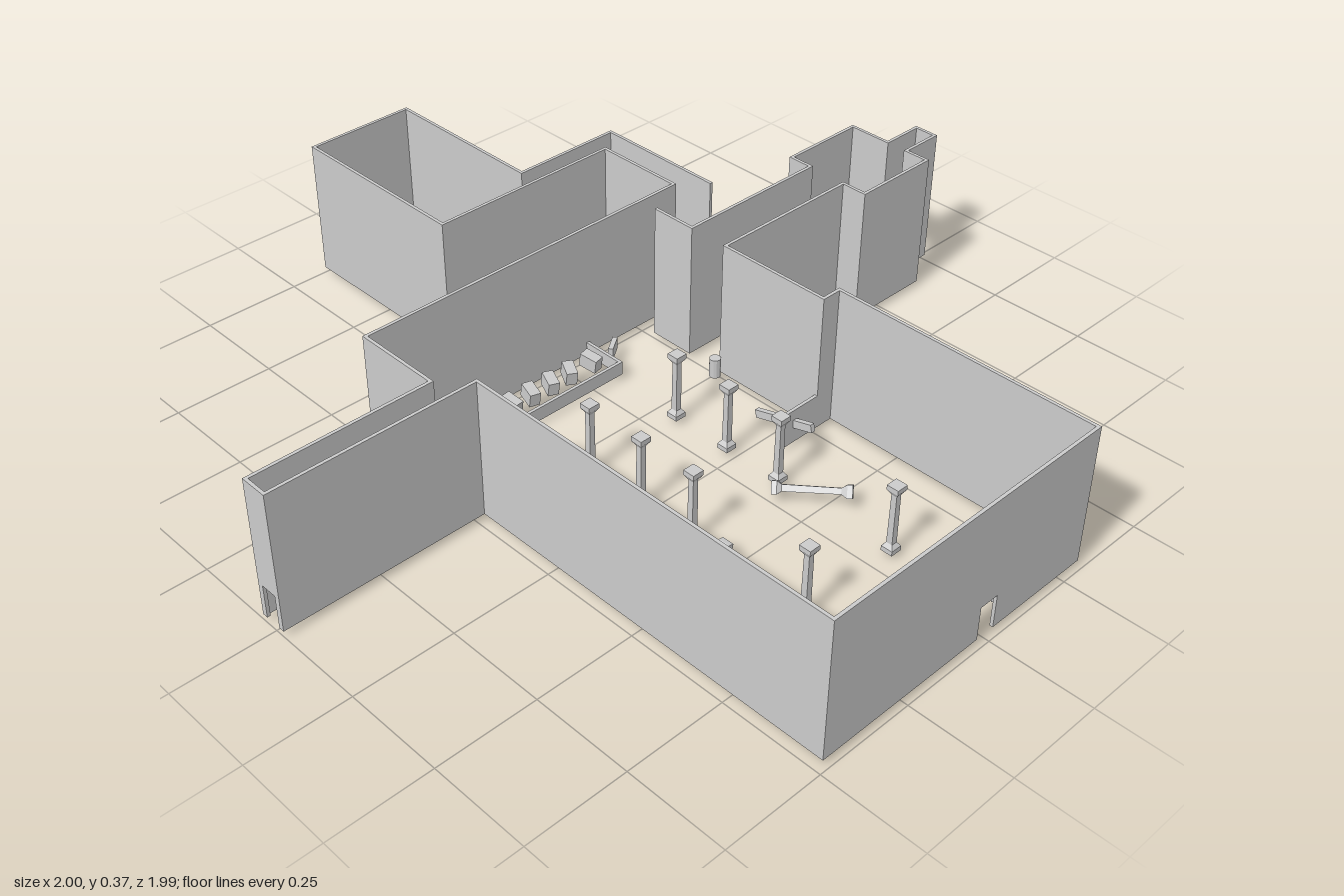
import * as THREE from 'three';

const FLOOR = 0.015, TOP = 0.365, THICK = 0.008, DOOR_TOP = 0.1;

export function createModel() {
  const root = new THREE.Group();
  root.name = 'roomComplex';
  const mat = new THREE.MeshStandardMaterial({ color: 0xcccccc, flatShading: true });

  const group = (name) => {
    const g = new THREE.Group();
    g.name = name;
    root.add(g);
    return g;
  };
  // box from its centre (x, z), base height y, size and turn about y
  const box = (parent, name, x, y, z, w, h, d, turn = 0) => {
    const m = new THREE.Mesh(new THREE.BoxGeometry(w, h, d), mat);
    m.name = name;
    m.position.set(x, y + h / 2, z);
    m.rotation.y = turn;
    parent.add(m);
    return m;
  };
  // straight wall between two plan points
  const wall = (parent, name, [x0, z0], [x1, z1], y0 = FLOOR, y1 = TOP) => {
    const len = Math.hypot(x1 - x0, z1 - z0);
    return box(parent, name, (x0 + x1) / 2, y0, (z0 + z1) / 2,
      len + THICK, y1 - y0, THICK, -Math.atan2(z1 - z0, x1 - x0));
  };
  const wallPath = (parent, name, points, y0, y1) => {
    for (let i = 1; i < points.length; i++) wall(parent, name, points[i - 1], points[i], y0, y1);
  };
  // wall with a doorway between fractions a and b of its length
  const doorWall = (parent, p, q, a, b) => {
    const at = (t) => [p[0] + (q[0] - p[0]) * t, p[1] + (q[1] - p[1]) * t];
    wall(parent, 'doorSide', p, at(a));
    wall(parent, 'doorSide', at(b), q);
    wall(parent, 'doorLintel', at(a), at(b), DOOR_TOP);
  };
  const barrel = (parent, x, z, h = 0.05, r = 0.014) => {
    const m = new THREE.Mesh(new THREE.CylinderGeometry(r, r, h, 12), mat);
    m.name = 'barrel';
    m.position.set(x, FLOOR + h / 2, z);
    parent.add(m);
  };

  // full height walls
  const walls = group('outerWalls');
  const A = [-0.147, -0.996], B = [0.138, -0.996];
  const C = [-0.478, 0.985], D = [0.306, 0.985];
  const E = [0.995, 0.018], F = [0.995, -0.04];
  const G = [-0.996, -0.04], H = [-0.996, 0.022];
  wallPath(walls, 'hallRightWall', [D, [0.306, 0.31], [0.255, 0.31], [0.255, 0.015], [0.656, 0.015],
    [0.656, 0.082], [0.885, 0.082], [0.885, 0.018], E]);
  wallPath(walls, 'storeBackWall', [F, [0.885, -0.04], [0.885, -0.153], [0.66, -0.153], [0.66, -0.092],
    [0.255, -0.092], [0.255, -0.205]]);
  wallPath(walls, 'backRoomRightWall', [[0.43, -0.205], [0.43, -0.55], [0.138, -0.55], B]);
  wallPath(walls, 'backRoomLeftWall', [A, [-0.147, -0.498], [0.363, -0.498], [0.363, -0.26],
    [-0.547, -0.26], [-0.547, -0.04], G]);
  wallPath(walls, 'hallLeftWall', [H, [-0.478, 0.022], C]);
  doorWall(walls, C, D, 0.57, 0.645);
  doorWall(walls, A, B, 0.4, 0.62);
  doorWall(walls, E, F, 0.08, 0.9);
  doorWall(walls, H, G, 0.1, 0.9);

  // low partitions
  const low = group('lowPartitions');
  const P = 0.105;
  wallPath(low, 'boothPartition', [[-0.355, 0.98], [-0.355, 0.7], [-0.41, 0.7], [-0.41, 0.93], [-0.355, 0.93]], FLOOR, P);
  wall(low, 'boothReturn', [-0.478, 0.7], [-0.43, 0.7], FLOOR, P);
  wall(low, 'hallStub', [-0.478, 0.08], [-0.425, 0.08], FLOOR, P);
  wall(low, 'hallPartition', [0.14, 0.31], [0.32, 0.31], FLOOR, P);
  wall(low, 'backRoomStub', [0.08, -0.635], [0.138, -0.635], FLOOR, P);
  wallPath(low, 'backRoomPartition', [[-0.147, -0.775], [-0.09, -0.775], [-0.09, -0.83], [-0.035, -0.83]], FLOOR, P);

  // pillars: lathe turned to a square section, with flared base and cap
  const profile = [[0, 0], [0.021, 0], [0.021, 0.012], [0.011, 0.022], [0.010, 0.15], [0.021, 0.163], [0.021, 0.175], [0, 0.175]]
    .map(([x, y]) => new THREE.Vector2(x, y));
  const pillarGeo = new THREE.LatheGeometry(profile, 4, Math.PI / 4);
  const pillar = (name, x, y, z) => {
    const m = new THREE.Mesh(pillarGeo, mat);
    m.name = name;
    m.position.set(x, y, z);
    root.add(m);
    return m;
  };
  for (const x of [-0.21, 0.055])
    for (const z of [0.065, 0.225, 0.38, 0.7]) pillar('pillar', x, FLOOR, z);
  // fallen pillars
  const dirTo = (m, dx, dy, dz) => m.quaternion.setFromUnitVectors(
    new THREE.Vector3(0, 1, 0), new THREE.Vector3(dx, dy, dz).normalize());
  dirTo(pillar('fallenPillar', 0.008, 0.035, 0.405), 0.095, 0.01, 0.128);
  dirTo(pillar('fallenPillar', -0.37, 0.06, 0.47), 0.155, -0.025, 0);

  // raised hollow platform by the left wall
  const stage = group('platform');
  box(stage, 'platformTop', -0.418, 0.103, 0.44, 0.12, 0.012, 0.15);
  wall(stage, 'platformSide', [-0.478, 0.369], [-0.362, 0.369], FLOOR, 0.105);
  wall(stage, 'platformSide', [-0.478, 0.511], [-0.362, 0.511], FLOOR, 0.105);
  wall(stage, 'platformFront', [-0.362, 0.41], [-0.362, 0.511], FLOOR, 0.105);

  // loose planks
  const planks = group('planks');
  box(planks, 'plank', -0.365, 0.06, 0.415, 0.01, 0.014, 0.18, 0.08).rotation.x = 0.2;
  box(planks, 'plank', 0.178, 0.05, 0.285, 0.012, 0.02, 0.165, 0.04).rotation.x = -0.25;
  box(planks, 'plank', 0.09, 0.02, 0.94, 0.03, 0.012, 0.006, 0.5);
  box(planks, 'plank', 0.115, 0.02, -0.21, 0.05, 0.03, 0.012, 0.6);

  // steps in the rear left corner
  const steps = group('steps');
  box(steps, 'lowerStep', -0.505, 0.02, -0.205, 0.08, 0.018, 0.095);
  box(steps, 'upperStep', -0.515, 0.04, -0.155, 0.055, 0.015, 0.2);
  box(steps, 'topStep', -0.53, 0.058, -0.155, 0.028, 0.015, 0.2);
  box(steps, 'rubble', -0.49, 0, -0.12, 0.02, 0.05, 0.035, 0.6);

  // counter with a row of tilted seats
  const counter = group('counter');
  wallPath(counter, 'counterRail', [[-0.268, -0.25], [-0.268, -0.142], [0.075, -0.142], [0.075, -0.25]], FLOOR, 0.05);
  [-0.215, -0.157, -0.097, -0.038, 0.03].forEach((x, i) => {
    box(counter, 'seat', x, 0.03, -0.195, 0.027, 0.035, 0.046, [0.1, -0.25, -0.35, -0.45, 0.2][i]).rotation.x = 0.15;
  });
  box(counter, 'crate', -0.295, FLOOR, -0.177, 0.05, 0.035, 0.028);

  // store room with rows of barrels on low shelves
  const store = group('storeRoom');
  for (const z of [-0.122, -0.085, 0.055])
    for (let i = 0; i < 6; i++) barrel(store, 0.69 + i * 0.034, z, 0.06);
  wall(store, 'shelfEdge', [0.66, -0.07], [0.885, -0.07], FLOOR, 0.03);
  box(store, 'crate', 0.69, 0.005, 0.028, 0.035, 0.035, 0.028, -0.5);
  box(store, 'crate', 0.86, 0.02, -0.055, 0.035, 0.03, 0.025, -0.5);
  box(store, 'crate', 0.8, 0.06, -0.086, 0.035, 0.025, 0.022);

  // scattered objects in the passages and back room
  const loose = group('looseObjects');
  barrel(loose, 0.505, 0);
  barrel(loose, 0.232, 0.015);
  barrel(loose, -0.125, -0.56);
  barrel(loose, -0.125, -0.522);
  box(loose, 'crate', 0.375, FLOOR, -0.07, 0.028, 0.03, 0.028);
  box(loose, 'crate', 0.115, FLOOR, -0.69, 0.028, 0.035, 0.03, 0.5);
  box(loose, 'bench', -0.04, 0.04, -0.513, 0.125, 0.01, 0.016);
  for (const x of [-0.09, 0.01]) box(loose, 'benchLeg', x, FLOOR, -0.513, 0.01, 0.026, 0.014);
  box(loose, 'parcel', -0.05, 0.05, -0.52, 0.03, 0.025, 0.022, 0.2);

  return root;
}
